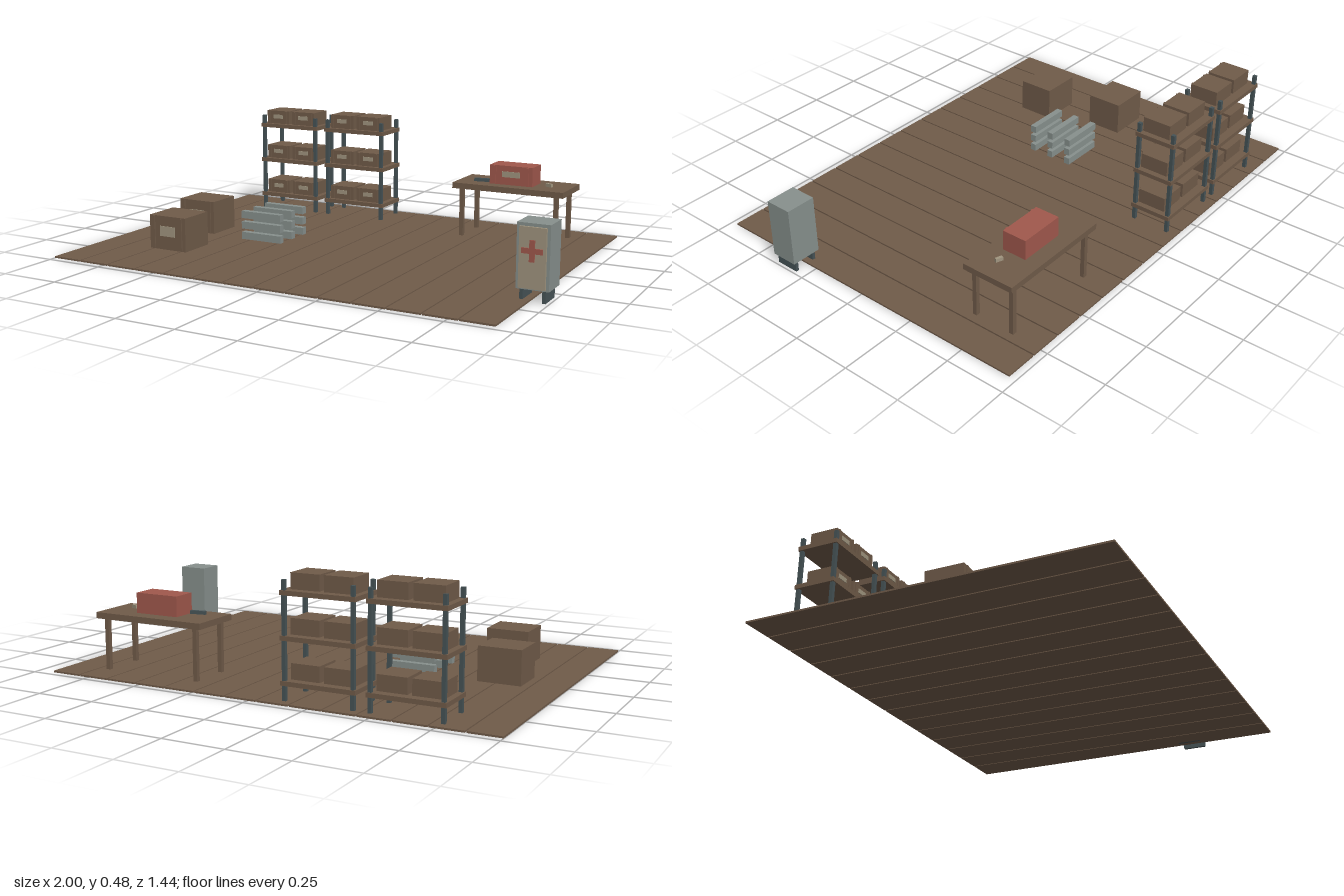
import * as THREE from 'three';

const mat = (name, color) => {
  const m = new THREE.MeshStandardMaterial({ color });
  m.name = name;
  return m;
};

export function createModel() {
  const wood = mat('brown wood', 0x705b49);
  const steel = mat('grey steel', 0x87908d);
  const dark = mat('dark metal', 0x465356);
  const red = mat('faded red', 0xa0584c);
  const beige = mat('beige', 0xa0957f);

  const model = new THREE.Group();
  model.name = 'storeroom';

  const group = (name, parent, x = 0, y = 0, z = 0) => {
    const g = new THREE.Group();
    g.name = name;
    g.position.set(x, y, z);
    parent.add(g);
    return g;
  };
  // Box given by its size and the centre of its underside
  const box = (name, parent, material, w, h, d, x, y, z) => {
    const m = new THREE.Mesh(new THREE.BoxGeometry(w, h, d), material);
    m.name = name;
    m.position.set(x, y + h / 2, z);
    parent.add(m);
    return m;
  };

  // Floor boards with narrow gaps
  const floorTop = 0.007;
  const floor = group('floor', model);
  const planks = 14, pitch = 0.138;
  for (let i = 0; i < planks; i++) {
    box('plank', floor, wood, pitch - 0.006, floorTop, 1.44, -0.934 + i * pitch, 0, 0);
  }

  // Crate with two front battens and a label
  const crate = (name, parent, material, w, h, d, x, y, z) => {
    const g = group(name, parent, x, y, z);
    box('body', g, material, w, h, d, 0, 0, 0);
    for (const s of [-1, 1]) {
      box('batten', g, material, w * 0.06, h * 0.96, 0.006, s * w * 0.38, h * 0.02, d / 2 + 0.002);
    }
    box('label', g, beige, w * 0.42, h * 0.3, 0.004, 0, h * 0.4, d / 2 + 0.001);
    return g;
  };

  // Shelving units, each with three loaded shelves
  for (const x of [-0.626, -0.276]) {
    const unit = group('shelvingUnit', model, x, 0, -0.597);
    for (const px of [-0.141, 0.141]) {
      for (const pz of [-0.078, 0.078]) {
        box('post', unit, dark, 0.015, 0.452, 0.015, px, floorTop, pz);
      }
    }
    for (const y of [0.065, 0.234, 0.402]) {
      box('shelf', unit, wood, 0.308, 0.018, 0.178, 0, y, 0);
      for (const bx of [-0.069, 0.069]) {
        crate('shelfBox', unit, wood, 0.12, 0.062, 0.122, bx, y + 0.018, 0.009);
      }
    }
  }

  // Large floor crates
  crate('floorCrate', model, wood, 0.18, 0.143, 0.16, -0.743, floorTop, 0.006);
  crate('floorCrate', model, wood, 0.18, 0.143, 0.16, -0.655, floorTop, 0.337);

  // Grey bars in three rows of three
  const bars = group('barStack', model, -0.374, 0, 0.032);
  for (let row = -1; row <= 1; row++) {
    for (let level = 0; level < 3; level++) {
      box('bar', bars, steel, 0.194, 0.031, 0.027, 0, 0.017 + level * 0.046, row * 0.093);
    }
  }

  // Workbench
  const bench = group('workbench', model, 0.531, 0, -0.502);
  box('benchTop', bench, wood, 0.502, 0.025, 0.224, 0, 0.219, 0);
  for (const x of [-0.214, 0.214]) {
    for (const z of [-0.086, 0.086]) {
      box('benchLeg', bench, wood, 0.018, 0.212, 0.018, x, floorTop, z);
    }
  }
  crate('toolbox', bench, red, 0.194, 0.083, 0.104, -0.002, 0.244, 0.004);
  box('handTool', bench, dark, 0.066, 0.014, 0.014, -0.142, 0.246, 0.039).rotation.y = 0.15;
  box('smallTool', bench, beige, 0.03, 0.014, 0.012, 0.159, 0.246, 0.022).rotation.y = -0.35;

  // First aid cabinet on two skids
  const cabinet = group('firstAidCabinet', model, 0.937, 0, 0.343);
  box('body', cabinet, steel, 0.126, 0.244, 0.114, 0, 0.046, 0);
  for (const x of [-0.043, 0.043]) {
    box('skid', cabinet, dark, 0.013, 0.046, 0.1, x, 0, 0.002);
  }
  box('door', cabinet, beige, 0.102, 0.226, 0.012, 0, 0.052, 0.061);
  box('crossBar', cabinet, red, 0.08, 0.02, 0.006, 0, 0.182, 0.07);
  for (const y of [0.152, 0.202]) {
    box('crossArm', cabinet, red, 0.02, 0.03, 0.006, 0, y, 0.07);
  }

  return model;
}
